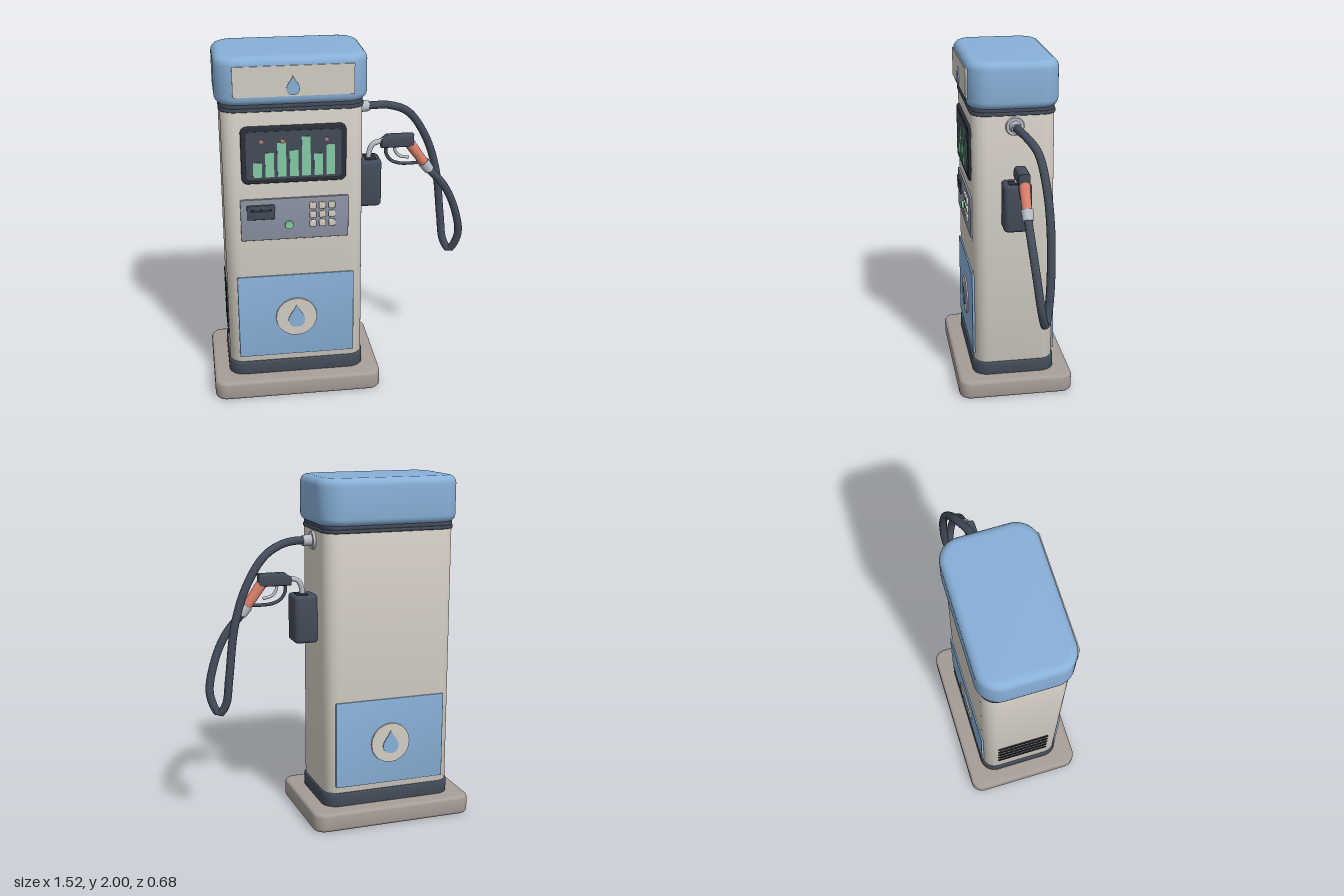
import * as THREE from 'three';
import { toCreasedNormals } from 'three/addons/utils/BufferGeometryUtils.js';

const mat = (name, color) => {
  const m = new THREE.MeshStandardMaterial({ color });
  m.name = name;
  return m;
};

const CX = -0.28; // centre line of the cabinet
const FRONT = 0.235; // front face of the cabinet

export function createModel() {
  const cream = mat('cream', 0xd3cdc3);
  const stone = mat('stone', 0xa69d96);
  const blue = mat('blue', 0x88b0d8);
  const slate = mat('slate', 0x434c5a);
  const black = mat('black', 0x2a2f38);
  const grey = mat('panel grey', 0x8b92a2);
  const metal = mat('metal', 0xb9bec8);
  const green = mat('green', 0x84cba6);
  const coral = mat('coral', 0xd97f6a);

  const root = new THREE.Group();
  root.name = 'fuelPump';

  const add = (name, geo, material, parent = root) => {
    const mesh = new THREE.Mesh(geo, material);
    mesh.name = name;
    parent.add(mesh);
    return mesh;
  };

  const roundRect = (w, h, r) => {
    const s = new THREE.Shape(), x = w / 2, y = h / 2;
    s.moveTo(-x + r, -y);
    s.lineTo(x - r, -y);
    s.absarc(x - r, -y + r, r, -Math.PI / 2, 0);
    s.lineTo(x, y - r);
    s.absarc(x - r, y - r, r, 0, Math.PI / 2);
    s.lineTo(-x + r, y);
    s.absarc(-x + r, y - r, r, Math.PI / 2, Math.PI);
    s.lineTo(-x, -y + r);
    s.absarc(-x + r, -y + r, r, Math.PI, Math.PI * 1.5);
    return s;
  };

  // Extrusion along z from z0 to z1, bevel included
  const extrude = (shape, z0, z1, bevel = 0, segs = 3) => {
    const g = new THREE.ExtrudeGeometry(shape, {
      depth: z1 - z0 - 2 * bevel, bevelEnabled: bevel > 0, bevelSize: bevel,
      bevelThickness: bevel, bevelSegments: segs, curveSegments: 8,
    });
    g.translate(0, 0, z0 + bevel);
    return toCreasedNormals(g, 0.6);
  };

  // Rounded plate facing +z
  const plate = (name, m, x, y, w, h, r, z0, z1, bevel = 0, parent = root) => {
    const g = extrude(roundRect(w - 2 * bevel, h - 2 * bevel, Math.max(r - bevel, 0.001)), z0, z1, bevel);
    const mesh = add(name, g, m, parent);
    mesh.position.set(x, y, 0);
    return mesh;
  };

  // Rounded block standing upright
  const block = (name, m, x, w, d, r, y0, y1, bevel, segs = 3) => {
    const g = extrude(roundRect(w - 2 * bevel, d - 2 * bevel, r - bevel), y0, y1, bevel, segs);
    g.rotateX(-Math.PI / 2);
    add(name, g, m).position.x = x;
  };

  const drop = (name, m, x, y, w, h, z0, z1, parent = root) => {
    const s = new THREE.Shape(), a = w / 2, b = h / 2;
    s.moveTo(0, b);
    s.bezierCurveTo(a * 0.25, b * 0.5, a, b * 0.1, a, -b * 0.35);
    s.bezierCurveTo(a, -b * 0.78, a * 0.55, -b, 0, -b);
    s.bezierCurveTo(-a * 0.55, -b, -a, -b * 0.78, -a, -b * 0.35);
    s.bezierCurveTo(-a, b * 0.1, -a * 0.25, b * 0.5, 0, b);
    add(name, extrude(s, z0, z1), m, parent).position.set(x, y, 0);
  };

  const tube = (name, m, pts, r, segs = 24, sides = 10, parent = root) => {
    const curve = new THREE.CatmullRomCurve3(pts.map((p) => new THREE.Vector3(...p)));
    return add(name, new THREE.TubeGeometry(curve, segs, r, sides), m, parent);
  };

  // Cylinder between two points
  const rod = (name, m, a, b, r0, r1 = r0, parent = root) => {
    const p = new THREE.Vector3(...a), q = new THREE.Vector3(...b);
    const mesh = add(name, new THREE.CylinderGeometry(r1, r0, p.distanceTo(q), 20), m, parent);
    mesh.position.copy(p).add(q).multiplyScalar(0.5);
    mesh.quaternion.setFromUnitVectors(new THREE.Vector3(0, 1, 0), q.sub(p).normalize());
    return mesh;
  };

  // Cabinet stack
  block('base', stone, CX, 0.97, 0.68, 0.07, 0, 0.11, 0.018);
  block('plinth', slate, CX, 0.79, 0.49, 0.09, 0.1, 0.19, 0.008);
  block('cabinet', cream, CX, 0.775, 0.47, 0.08, 0.18, 1.71, 0.004);
  block('neckLower', slate, CX, 0.79, 0.485, 0.09, 1.7, 1.722, 0.007);
  block('neckUpper', slate, CX, 0.78, 0.475, 0.085, 1.715, 1.745, 0.004);
  block('canopy', blue, CX, 0.83, 0.52, 0.125, 1.735, 2, 0.045, 5);

  // Sign on the canopy
  plate('signPanel', cream, CX + 0.005, 1.872, 0.65, 0.165, 0.006, 0.255, 0.266);
  drop('signDrop', blue, CX, 1.85, 0.07, 0.105, 0.264, 0.273);

  // Display with bar chart
  plate('displayBezel', black, CX, 1.46, 0.575, 0.325, 0.035, FRONT - 0.01, 0.25, 0.008);
  plate('displayScreen', slate, CX, 1.46, 0.52, 0.27, 0.02, 0.245, 0.2525);
  [1.42, 1.475, 1.53, 1.485, 1.56, 1.46, 1.51].forEach((top, i) => {
    plate('chartBar', green, CX + (i - 3) * 0.0667, (top + 1.337) / 2, 0.048, top - 1.337, 0.001, 0.25, 0.256);
  });
  for (const x of [-0.455, -0.34, -0.1]) plate('chartMark', coral, x, 1.54, 0.018, 0.018, 0.001, 0.25, 0.2545);

  // Payment panel
  plate('paymentPanel', grey, CX, 1.083, 0.6, 0.245, 0.008, FRONT - 0.01, 0.246, 0.003);
  plate('cardReader', slate, -0.468, 1.13, 0.155, 0.085, 0.008, 0.24, 0.256, 0.004);
  plate('cardSlot', black, -0.468, 1.14, 0.12, 0.014, 0.002, 0.25, 0.258);
  rod('startButton', green, [-0.313, 1.048, 0.24], [-0.313, 1.048, 0.259], 0.026, 0.023);
  for (let i = 0; i < 3; i++) {
    for (let j = 0; j < 3; j++) {
      plate('key', cream, -0.18 + i * 0.053, 1.05 + j * 0.053, 0.038, 0.038, 0.008, 0.24, 0.259, 0.005);
    }
  }

  // Lower doors, front and back
  for (const side of [0, 1]) {
    const door = new THREE.Group();
    door.name = side ? 'backDoor' : 'frontDoor';
    door.position.x = CX;
    door.rotation.y = side * Math.PI;
    root.add(door);
    plate('doorPanel', blue, 0, 0.48, 0.665, 0.51, 0.008, FRONT - 0.01, 0.244, 0.003, door);
    rod('badge', cream, [0, 0.47, 0.24], [0, 0.47, 0.252], 0.12, 0.118, door);
    drop('badgeDrop', blue, 0, 0.478, 0.095, 0.14, 0.25, 0.258, door);
  }

  // Vent slats on the right side
  for (let i = 0; i < 5; i++) {
    const slat = plate('ventSlat', black, CX - 0.3875 + 0.235, 0.345 + i * 0.069, 0.31, 0.024, 0.011, FRONT - 0.004, 0.241);
    slat.rotation.y = -Math.PI / 2;
    slat.position.x = CX - 0.3875 + 0.235;
  }

  // Nozzle holster
  block('holster', slate, 0.17, 0.14, 0.16, 0.03, 1.06, 1.335, 0.018);
  block('holsterSlot', black, 0.182, 0.065, 0.1, 0.01, 1.33, 1.338, 0.001);

  // Hose and its outlet
  rod('outletFlange', metal, [0.1, 1.64, 0], [0.122, 1.64, 0], 0.056, 0.05);
  rod('outletCollar', metal, [0.12, 1.64, 0], [0.172, 1.64, 0], 0.034, 0.03);
  tube('hose', slate, [
    [0.15, 1.64, 0], [0.2, 1.642, -0.003], [0.3, 1.63, -0.03], [0.42, 1.57, -0.075], [0.53, 1.41, -0.1],
    [0.6, 1.2, -0.11], [0.637, 0.9, -0.105], [0.655, 0.75, -0.09], [0.69, 0.695, -0.07],
    [0.734, 0.8, -0.04], [0.705, 0.965, -0.02], [0.63, 1.13, -0.005], [0.51, 1.265, 0],
  ], 0.023, 80, 12);

  // Nozzle
  const nozzle = new THREE.Group();
  nozzle.name = 'nozzle';
  root.add(nozzle);
  tube('spout', metal, [[0.175, 1.29, 0], [0.176, 1.36, 0], [0.2, 1.413, 0], [0.265, 1.432, 0]], 0.015, 16, 10, nozzle);
  const body = new THREE.Shape([
    [0.257, 1.405], [0.422, 1.405], [0.422, 1.452], [0.285, 1.452], [0.257, 1.43],
  ].map((p) => new THREE.Vector2(...p)));
  add('nozzleBody', extrude(body, -0.032, 0.032, 0.013), slate, nozzle);
  rod('grip', coral, [0.415, 1.405, 0], [0.505, 1.28, 0], 0.031, 0.027, nozzle);
  rod('gripCollar', metal, [0.499, 1.288, 0], [0.535, 1.238, 0], 0.034, 0.029, nozzle);
  tube('triggerGuard', slate, [
    [0.275, 1.4, 0], [0.275, 1.36, 0], [0.3, 1.315, 0], [0.35, 1.291, 0], [0.42, 1.286, 0], [0.485, 1.29, 0],
  ], 0.01, 24, 8, nozzle);
  tube('trigger', metal, [[0.322, 1.4, 0], [0.33, 1.365, 0], [0.355, 1.335, 0], [0.41, 1.322, 0]], 0.009, 16, 8, nozzle);

  return root;
}
